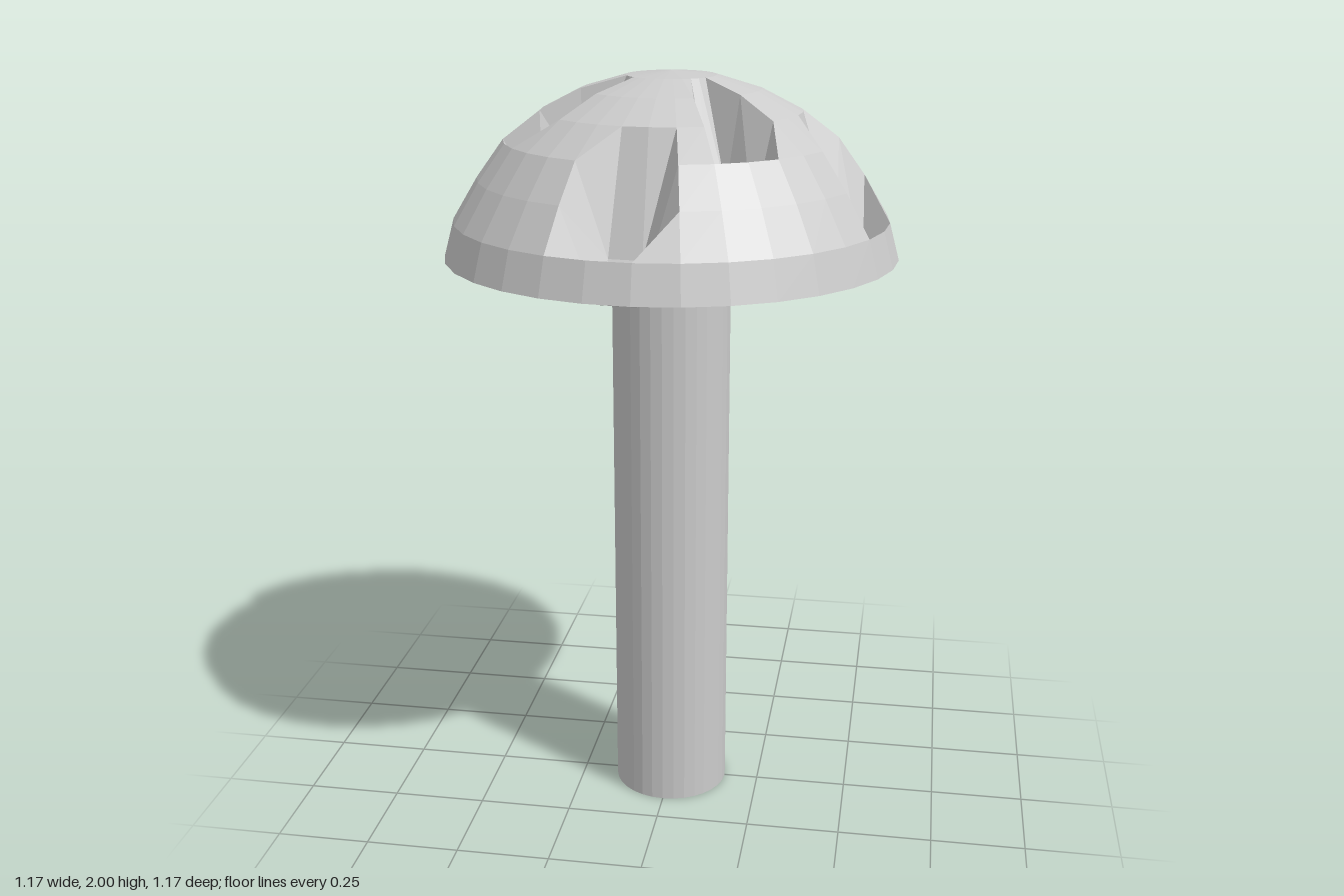
import * as THREE from 'three';

const SIDES = 32;
const BASE_Y = 1.534;
const DENT = 0.225;

// cap rings from the crown down to the rim: [radius, height]
const RINGS = [
  [0, 2], [0.115, 1.989], [0.228, 1.956], [0.333, 1.902],
  [0.428, 1.83], [0.497, 1.735], [0.561, 1.629], [0.587, BASE_Y],
];

// pits: [first sunken column, upper sunken ring]; each sinks 2 x 2 vertices
const PITS = [
  [31, 4], [7, 4], [15, 4], [23, 4],  // large lower pits
  [3, 2], [10, 2], [19, 2], [26, 2],  // narrow upper pits
];

function isSunken(ring, col) {
  return PITS.some(([c, r]) =>
    (ring === r || ring === r + 1) && (col - c + SIDES) % SIDES < 2);
}

function capPoint(ring, col) {
  const [r, y] = RINGS[ring];
  const a = (col / SIDES) * Math.PI * 2;
  const drop = isSunken(ring, col % SIDES) ? DENT : 0;
  return [r * Math.sin(a), y - drop, r * Math.cos(a)];
}

// faceted dome whose pits are vertices pushed straight down
function capGeometry() {
  const pos = [];
  for (let i = 0; i < RINGS.length - 1; i++) {
    for (let j = 0; j < SIDES; j++) {
      const a = capPoint(i, j), b = capPoint(i + 1, j);
      const c = capPoint(i + 1, j + 1), d = capPoint(i, j + 1);
      if (i > 0) pos.push(...a, ...b, ...d);
      pos.push(...b, ...c, ...d);
    }
  }
  const geo = new THREE.BufferGeometry();
  geo.setAttribute('position', new THREE.Float32BufferAttribute(pos, 3));
  geo.computeVertexNormals();
  return geo;
}

export function createModel() {
  const group = new THREE.Group();
  group.name = 'mushroom';
  const material = new THREE.MeshStandardMaterial({
    color: 0xcccccc, flatShading: true, side: THREE.DoubleSide,
  });

  const add = (name, geometry) => {
    const mesh = new THREE.Mesh(geometry, material);
    mesh.name = name;
    group.add(mesh);
    return mesh;
  };

  add('cap', capGeometry());

  // flat underside closing the cap
  const underside = add('capUnderside', new THREE.CircleGeometry(0.587, SIDES));
  underside.rotation.x = Math.PI / 2;
  underside.position.y = BASE_Y;

  // straight stem
  const stem = add('stem', new THREE.CylinderGeometry(0.156, 0.156, BASE_Y, SIDES));
  stem.position.y = BASE_Y / 2;

  return group;
}
